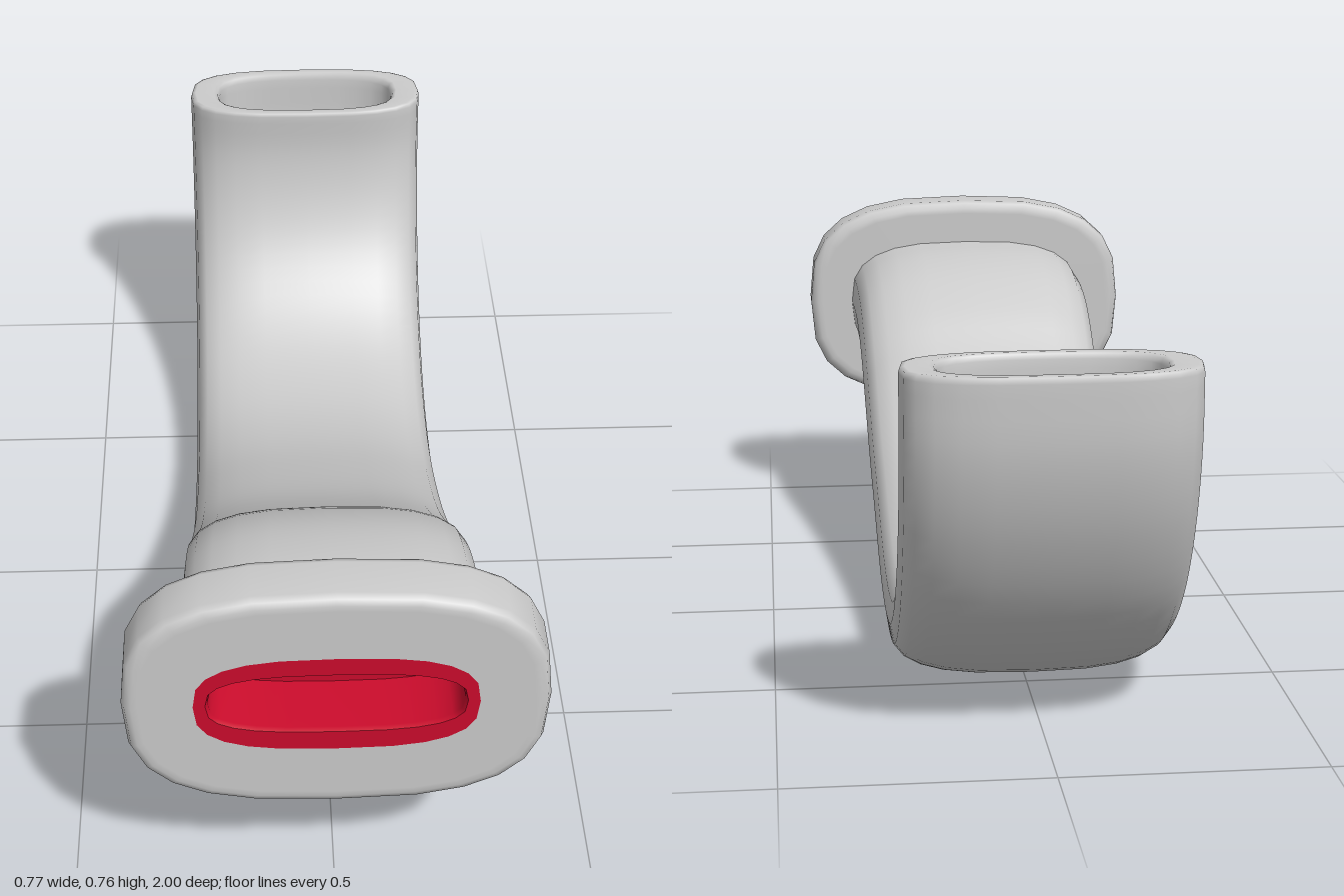
import * as THREE from 'three';

const SIDES = 24;
const POWER = 2 / 2.9; // rounded-oblong cross-section

// One closed cross-section: centre, "up" half-axis in the yz plane, half-width along x
function ring(center, up, halfWidth) {
  const points = [];
  for (let j = 0; j < SIDES; j++) {
    const t = (j / SIDES) * Math.PI * 2;
    const c = Math.cos(t), s = Math.sin(t);
    const x = Math.sign(c) * Math.abs(c) ** POWER * halfWidth;
    const v = Math.sign(s) * Math.abs(s) ** POWER;
    points.push(new THREE.Vector3(x, center.y + up.y * v, center.z + up.z * v));
  }
  return points;
}

// Upright cross-section parallel to the front
const flatRing = (z, halfWidth, halfHeight, y = 0.517) =>
  ring(new THREE.Vector3(0, y, z), new THREE.Vector3(0, halfHeight, 0), halfWidth);

// Skin a list of cross-sections
function loft(name, rings, color = 0xcccccc) {
  const pos = [], index = [];
  rings.forEach((r) => r.forEach((p) => pos.push(p.x, p.y, p.z)));
  for (let i = 0; i < rings.length - 1; i++) {
    for (let j = 0; j < SIDES; j++) {
      const k = (j + 1) % SIDES;
      const a = i * SIDES + j, b = i * SIDES + k;
      const c = a + SIDES, d = b + SIDES;
      index.push(a, c, b, b, c, d);
    }
  }
  const geo = new THREE.BufferGeometry();
  geo.setAttribute('position', new THREE.Float32BufferAttribute(pos, 3));
  geo.setIndex(index);
  geo.computeVertexNormals();
  const mesh = new THREE.Mesh(geo, new THREE.MeshStandardMaterial({ color }));
  mesh.name = name;
  return mesh;
}

// Upper and lower outline of the bent pipe, as [z, y] pairs
const rail = (pts) => new THREE.CatmullRomCurve3(pts.map(([z, y]) => new THREE.Vector3(0, y, z)));
const upper = rail([
  [0.88, 0.665], [0.75, 0.658], [0.62, 0.628], [0.5, 0.568], [0.4, 0.495], [0.2, 0.37], [0, 0.285], [-0.18, 0.23],
  [-0.34, 0.215], [-0.48, 0.24], [-0.6, 0.305], [-0.69, 0.4], [-0.745, 0.51], [-0.772, 0.63], [-0.77, 0.74],
]);
const lower = rail([
  [0.88, 0.37], [0.78, 0.378], [0.68, 0.376], [0.57, 0.337], [0.46, 0.262], [0.27, 0.157], [0.05, 0.07], [-0.14, 0.018],
  [-0.32, 0.005], [-0.53, 0.035], [-0.7, 0.12], [-0.84, 0.25], [-0.94, 0.42], [-0.988, 0.58], [-0.997, 0.74],
]);

// Pipe cross-section at u, scaled for the outer or inner wall
function pipeRing(u, kx = 1, ky = 1) {
  const top = upper.getPoint(u), bottom = lower.getPoint(u);
  const center = top.clone().add(bottom).multiplyScalar(0.5);
  const up = top.sub(bottom).multiplyScalar(0.5 * ky);
  const halfWidth = THREE.MathUtils.lerp(0.285, 0.272, Math.min(1, u * 2.5));
  return ring(center, up, halfWidth * kx);
}

function createModel() {
  const group = new THREE.Group();

  // Pipe: outer wall, softly rounded rim, inner wall and a hidden inner end
  const STEPS = 56, rings = [];
  for (let i = 0; i < STEPS; i++) rings.push(pipeRing(i / STEPS));
  rings.push(pipeRing(0.994), pipeRing(0.999, 0.99, 0.985), pipeRing(1, 0.96, 0.95));
  rings.push(pipeRing(1, 0.8, 0.83), pipeRing(0.998, 0.77, 0.79), pipeRing(0.992, 0.755, 0.775));
  for (let i = STEPS - 1; i >= 4; i--) rings.push(pipeRing(i / STEPS, 0.755, 0.77));
  rings.push(pipeRing(4 / STEPS, 0, 0));
  group.add(loft('pipe', rings));

  // Flange plate with rounded edges
  const W = 0.387, H = 0.249;
  group.add(loft('flange', [
    flatRing(1, 0.258, 0.109), flatRing(1, W - 0.03, H - 0.03), flatRing(1, W - 0.018, H - 0.018),
    flatRing(0.995, W - 0.006, H - 0.006), flatRing(0.982, W, H),
    flatRing(0.9, W, H), flatRing(0.886, W - 0.005, H - 0.005),
    flatRing(0.88, W - 0.018, H - 0.018), flatRing(0.88, W - 0.03, H - 0.03), flatRing(0.88, 0.27, 0.135),
  ]));

  // Coloured mouth: flat border, wall and floor of the recess
  const RED = 0xcc0c2c;
  const mouth = new THREE.Group();
  mouth.name = 'mouth';
  mouth.add(
    loft('mouthBorder', [flatRing(1, 0.236, 0.069, 0.519), flatRing(1, 0.258, 0.109)], RED),
    loft('mouthWall', [flatRing(0.87, 0.23, 0.065, 0.519), flatRing(0.99, 0.232, 0.066, 0.519), flatRing(1, 0.236, 0.069, 0.519)], RED),
    loft('mouthFloor', [flatRing(0.87, 0, 0, 0.519), flatRing(0.87, 0.23, 0.065, 0.519)], RED),
  );
  group.add(mouth);
  return group;
}

export { createModel };
